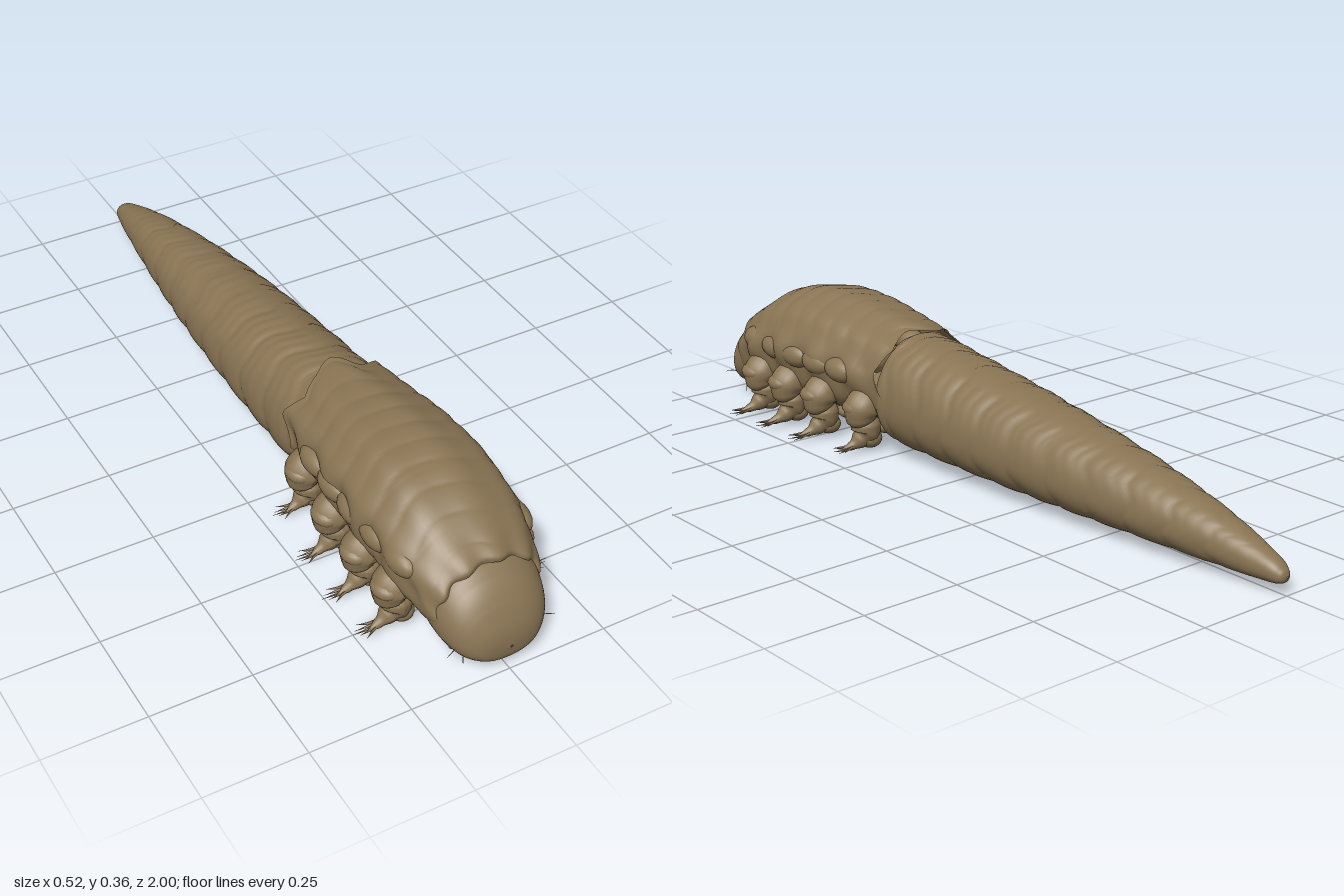
import * as THREE from 'three';

const skin = new THREE.MeshStandardMaterial({ color: 0x8a7554, roughness: 0.9, side: THREE.DoubleSide });

// Skin stretched over stations [z, halfWidth, top, bottom, heightOfWidestPoint 0..1]
function loft(stations, rings, sides, power, rule) {
  const upper = new THREE.CatmullRomCurve3(stations.map(s => new THREE.Vector3(s[0], s[1], s[2])), false, 'catmullrom', 0.5);
  const lower = new THREE.CatmullRomCurve3(stations.map(s => new THREE.Vector3(s[0], s[3], s[4])), false, 'catmullrom', 0.5);
  const pos = [], index = [];
  const bend = v => Math.sign(v) * Math.abs(v) ** power;
  for (let j = 0; j <= rings; j++) {
    const u = upper.getPoint(j / rings), l = lower.getPoint(j / rings);
    const mid = l.y + (u.z - l.y) * l.z;
    for (let i = 0; i < sides; i++) {
      const a = (i / sides) * Math.PI * 2, s = Math.sin(a);
      const [k, dz] = rule(u.x, a);
      pos.push(u.y * bend(Math.cos(a)) * k, mid + (s > 0 ? u.z - mid : mid - l.y) * bend(s) * k, u.x + dz);
      if (j === rings) continue;
      const n = (i + 1) % sides, p = j * sides, q = p + sides;
      index.push(p + i, p + n, q + i, p + n, q + n, q + i);
    }
  }
  const g = new THREE.BufferGeometry();
  g.setAttribute('position', new THREE.Float32BufferAttribute(pos, 3));
  g.setIndex(index);
  g.computeVertexNormals();
  return g;
}

// Tube along points [x, y, z, radius]
function taperedTube(points, segments = 30, sides = 16) {
  const curve = new THREE.CatmullRomCurve3(points.map(p => new THREE.Vector3(p[0], p[1], p[2])));
  const g = new THREE.TubeGeometry(curve, segments, 1, sides);
  const pos = g.attributes.position, nor = g.attributes.normal, n = new THREE.Vector3();
  for (let j = 0; j <= segments; j++) {
    const c = curve.getPointAt(j / segments);
    const t = curve.getUtoTmapping(j / segments) * (points.length - 1);
    const i = Math.min(Math.floor(t), points.length - 2);
    const r = THREE.MathUtils.lerp(points[i][3], points[i + 1][3], THREE.MathUtils.smoothstep(t - i, 0, 1));
    for (let k = 0; k <= sides; k++) {
      const v = j * (sides + 1) + k;
      n.fromBufferAttribute(nor, v).multiplyScalar(r).add(c);
      pos.setXYZ(v, n.x, n.y, n.z);
    }
  }
  g.computeVertexNormals();
  return g;
}

function add(parent, name, geometry) {
  const m = new THREE.Mesh(geometry, skin);
  m.name = name;
  parent.add(m);
  return m;
}

function blob(parent, name, x, y, z, rx, ry, rz) {
  const m = add(parent, name, new THREE.SphereGeometry(1, 18, 12));
  m.position.set(x, y, z);
  m.scale.set(rx, ry, rz);
  return m;
}

// Rounded rolls separated by sharp creases
const roll = t => Math.abs(Math.sin(t * Math.PI)) ** 0.6 - 0.7;

export function createModel() {
  const model = new THREE.Group();
  model.name = 'grub';

  // Long tapering abdomen with large segments and finer wrinkles
  add(model, 'abdomen', loft([
    [-1, 0.002, 0.046, 0.043, 0.5], [-0.99, 0.018, 0.062, 0.028, 0.5], [-0.95, 0.033, 0.085, 0.022, 0.5],
    [-0.8, 0.062, 0.135, 0.018, 0.5], [-0.6, 0.092, 0.182, 0.016, 0.48], [-0.4, 0.115, 0.218, 0.014, 0.47],
    [-0.2, 0.13, 0.25, 0.012, 0.46], [0, 0.139, 0.277, 0.012, 0.45], [0.2, 0.142, 0.303, 0.013, 0.45],
    [0.26, 0.138, 0.305, 0.018, 0.45], [0.28, 0.11, 0.26, 0.05, 0.45], [0.29, 0.01, 0.16, 0.15, 0.45],
  ], 300, 64, 0.94, (z, a) => {
    const wave = 0.012 * Math.sin(3 * a + z * 9) + 0.008 * Math.sin(7 * a);
    const fade = THREE.MathUtils.smoothstep(z, -1, -0.85);
    const fine = Math.max(0, Math.sin(a) + 0.35);
    return [1 + fade * (0.04 * roll((z + wave) * 8.5) + 0.016 * fine * roll((z + wave) * 27)), 0];
  }));

  // Humped thorax shell, open at both rims, with a zigzag rear edge
  add(model, 'thorax', loft([
    [0.25, 0.15, 0.322, 0.05, 0.52], [0.32, 0.152, 0.332, 0.055, 0.54], [0.45, 0.167, 0.35, 0.05, 0.55],
    [0.57, 0.175, 0.358, 0.045, 0.55], [0.68, 0.176, 0.348, 0.045, 0.54], [0.78, 0.169, 0.316, 0.042, 0.53],
    [0.85, 0.154, 0.277, 0.035, 0.52], [0.895, 0.135, 0.248, 0.03, 0.5], [0.9, 0.125, 0.232, 0.035, 0.5],
  ], 150, 80, 0.98, (z, a) => {
    const s = Math.sin(a), side = Math.exp(-((s + 0.05) ** 2) / 0.08);
    const rear = 1 - THREE.MathUtils.smoothstep(z, 0.25, 0.38);
    const front = THREE.MathUtils.smoothstep(z, 0.82, 0.9);
    const wave = 0.012 * Math.sin(4 * a);
    const folds = 0.022 * roll((z + wave) * 15) * Math.max(0, s + 0.2) + 0.02 * roll((z + 0.015) * 7.2) * (1 - 0.5 * s);
    const lumps = 0.05 * side * Math.sin((z - 0.02) * Math.PI * 14) + 0.015 * Math.sin(9 * a + 1.2);
    const peak = Math.exp(-((a - Math.PI / 2) ** 2) / 0.05);
    const zig = 0.012 * Math.asin(Math.sin(6 * a)) - 0.04 * peak;
    return [1 + folds + lumps * (1 - front), rear * zig + front * 0.006 * Math.sin(10 * a)];
  }));

  // Blunt head tucked under the front rim
  add(model, 'head', loft([
    [0.82, 0.132, 0.245, 0.04, 0.45], [0.88, 0.136, 0.238, 0.022, 0.45], [0.925, 0.128, 0.213, 0.014, 0.45],
    [0.96, 0.111, 0.178, 0.015, 0.45], [0.985, 0.082, 0.136, 0.024, 0.45], [0.996, 0.05, 0.105, 0.04, 0.45],
    [1, 0.003, 0.073, 0.067, 0.5],
  ], 70, 56, 0.92, (z, a) => [1 + 0.012 * roll(z * 26) * Math.max(0, Math.sin(a)) * (z < 0.97 ? 1 : 0.3), 0]));

  // Mouth: arched lips and a small plate
  const mouth = new THREE.Group();
  mouth.name = 'mouth';
  model.add(mouth);
  for (const [w, y, z, r] of [[0.055, 0.052, 0.978, 0.006], [0.038, 0.04, 0.983, 0.007], [0.025, 0.028, 0.975, 0.007]]) {
    add(mouth, 'lip', taperedTube([[-w, y - 0.014, z - 0.022, 0.001], [-w * 0.5, y, z, r],
      [w * 0.5, y, z, r], [w, y - 0.014, z - 0.022, 0.001]], 20, 10));
  }
  blob(mouth, 'mouthPlate', 0, 0.03, 0.968, 0.022, 0.016, 0.018);

  for (const side of [1, -1]) {
    // Eye spots, jaws and bristles
    for (let i = 0; i < 4; i++) {
      blob(model, 'eyeSpot', side * (0.075 + 0.011 * i), 0.05 + 0.006 * (i % 2), 0.967 - 0.013 * i, 0.006, 0.005, 0.006);
    }
    add(model, 'jaw', taperedTube([[side * 0.085, 0.05, 0.945, 0.012], [side * 0.065, 0.045, 0.968, 0.011],
      [side * 0.035, 0.032, 0.98, 0.002]], 12, 10));
    add(model, 'bristle', taperedTube([[side * 0.083, 0.03, 0.94, 0.0012], [side * 0.084, 0.015, 0.942, 0.001],
      [side * 0.084, 0.001, 0.943, 0.0004]], 4, 5));
    add(model, 'bristle', taperedTube([[side * 0.11, 0.065, 0.945, 0.0012], [side * 0.125, 0.068, 0.955, 0.001],
      [side * 0.14, 0.066, 0.96, 0.0004]], 4, 5));

    // Four legs: swollen base, pinched knee, curved foot and splayed claws
    [[0.325, 0.86], [0.485, 0.97], [0.625, 1], [0.755, 0.98]].forEach(([z, reach]) => {
      const leg = new THREE.Group();
      leg.name = side > 0 ? 'leftLeg' : 'rightLeg';
      leg.position.z = z;
      model.add(leg);
      const at = (x, y, dz, r) => [side * x * reach, y, dz, r];
      add(leg, 'legBase', taperedTube([at(0.1, 0.16, 0, 0.02), at(0.135, 0.138, 0, 0.046),
        at(0.16, 0.117, 0, 0.048), at(0.164, 0.092, 0, 0.04), at(0.155, 0.07, 0, 0.015)]));
      blob(leg, 'legFold', side * 0.178 * reach, 0.122, 0.004, 0.034, 0.024, 0.04);
      add(leg, 'foot', taperedTube([at(0.15, 0.1, 0, 0.025), at(0.148, 0.073, 0, 0.039), at(0.15, 0.05, 0, 0.038),
        at(0.168, 0.034, 0.002, 0.024), at(0.195, 0.021, 0.006, 0.012), at(0.225, 0.016, 0.012, 0.002)]));
      blob(leg, 'footPad', side * 0.135 * reach, 0.035, 0, 0.032, 0.027, 0.036);
      for (let i = -2; i <= 2; i++) {
        add(leg, 'claw', taperedTube([at(0.185, 0.021, 0.004 + i * 0.003, 0.005),
          at(0.215, 0.014 + 0.002 * Math.abs(i), 0.006 + i * 0.006, 0.003),
          at(0.262 - 0.011 * Math.abs(i), 0.012 + 0.004 * (i % 2 + 1), 0.008 + i * 0.012, 0.0004)], 8, 6));
      }
    });

    // Paired belly pads and side lobes above the legs
    for (let i = 0; i < 7; i++) {
      blob(model, 'bellyPad', side * 0.045, 0.058, 0.33 + i * 0.078, 0.055, 0.024, 0.042).rotation.y = side * 0.4;
    }
    for (let i = 0; i < 5; i++) {
      blob(model, 'sideLobe', side * (0.146 + 0.008 * Math.sin(i * 0.8)), 0.205, 0.4 + i * 0.093, 0.034, 0.034, 0.058);
    }
  }
  return model;
}
